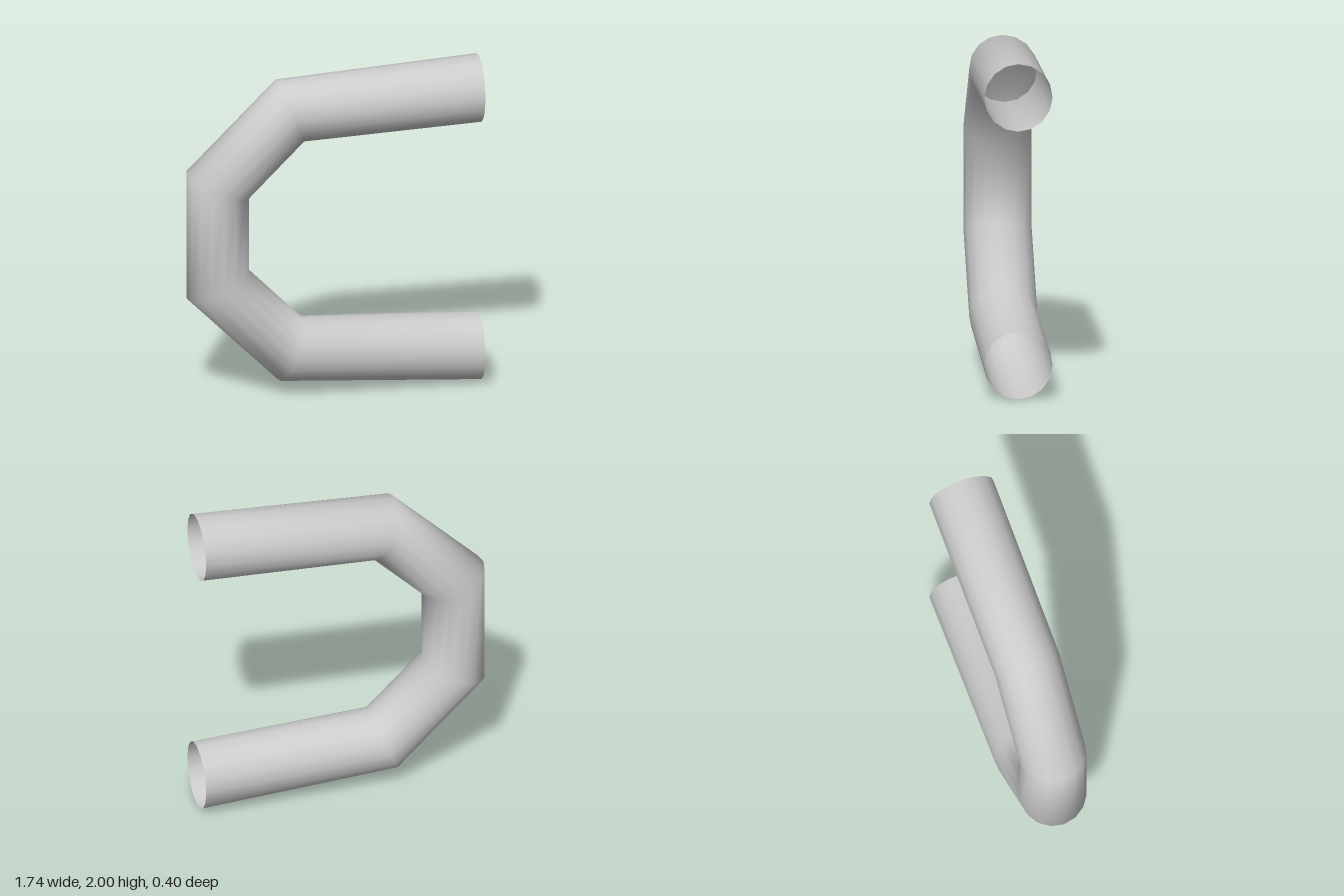
import * as THREE from 'three';

const SIDES = 16;
const RADIUS = 0.2;

// Mitred joints along the upper half of the pipe: [outer x, outer y, inner x, inner y]
const upper = [
  [0.87, 2.0, 0.87, 1.597],
  [-0.33, 1.923, -0.18, 1.553],
  [-0.87, 1.385, -0.502, 1.23],
];
// The lower half mirrors the upper one about y = 1
const lower = upper.map(([ox, oy, ix, iy]) => [ox, 2 - oy, ix, 2 - iy]).reverse();

// Open tube lofted through elliptical mitre rings
function bentPipe(joints) {
  const positions = [];
  const index = [];
  joints.forEach(([ox, oy, ix, iy], i) => {
    for (let j = 0; j < SIDES; j++) {
      const a = (j / SIDES) * Math.PI * 2;
      const c = Math.cos(a) / 2;
      positions.push(
        (ox + ix) / 2 + c * (ox - ix),
        (oy + iy) / 2 + c * (oy - iy),
        Math.sin(a) * RADIUS
      );
      if (i === joints.length - 1) continue;
      const p = i * SIDES + j;
      const q = i * SIDES + ((j + 1) % SIDES);
      index.push(p, p + SIDES, q, q, p + SIDES, q + SIDES);
    }
  });
  const geometry = new THREE.BufferGeometry();
  geometry.setAttribute('position', new THREE.Float32BufferAttribute(positions, 3));
  geometry.setIndex(index);
  geometry.computeVertexNormals();
  return geometry;
}

export function createModel() {
  const group = new THREE.Group();
  group.name = 'pipeBend';
  const material = new THREE.MeshStandardMaterial({ color: 0xcccccc, side: THREE.DoubleSide });
  const pipe = new THREE.Mesh(bentPipe([...upper, ...lower]), material);
  pipe.name = 'pipe';
  group.add(pipe);
  return group;
}
